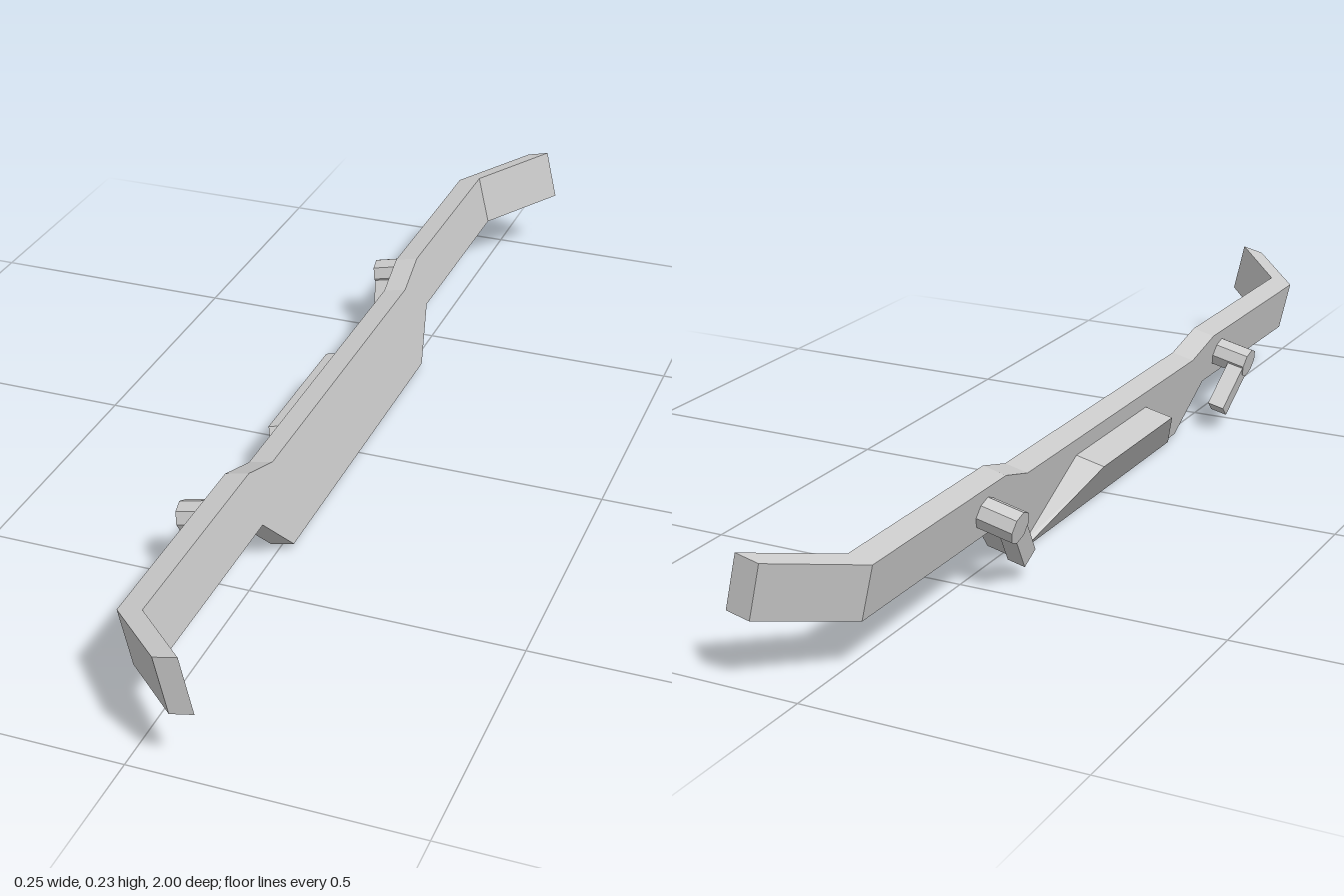
import * as THREE from 'three';
import { ConvexGeometry } from 'three/addons/geometries/ConvexGeometry.js';

const material = new THREE.MeshStandardMaterial({ color: 0xcccccc, flatShading: true });

function addMesh(parent, name, geometry) {
  const mesh = new THREE.Mesh(geometry, material);
  mesh.name = name;
  parent.add(mesh);
  return mesh;
}

// Rectangular sections [z, back, front, bottom, top] joined along z
function loft(sections) {
  const positions = [];
  const corners = sections.map(([z, x0, x1, y0, y1]) =>
    [[x0, y0, z], [x1, y0, z], [x1, y1, z], [x0, y1, z]]);
  const quad = (a, b, c, d) => positions.push(...a, ...b, ...c, ...a, ...c, ...d);
  for (let i = 0; i < corners.length - 1; i++) {
    for (let j = 0; j < 4; j++) {
      const k = (j + 1) % 4;
      quad(corners[i][j], corners[i][k], corners[i + 1][k], corners[i + 1][j]);
    }
  }
  const [a, b, c, d] = corners[0];
  quad(d, c, b, a);
  quad(...corners[corners.length - 1]);
  const geometry = new THREE.BufferGeometry();
  geometry.setAttribute('position', new THREE.Float32BufferAttribute(positions, 3));
  geometry.computeVertexNormals();
  return geometry;
}

export function createModel() {
  const model = new THREE.Group();
  model.name = 'bumper';

  // Everything leans together
  const body = new THREE.Group();
  body.name = 'bumperBody';
  body.position.set(-0.0188, 0.0027, 0);
  body.rotation.z = THREE.MathUtils.degToRad(13.1);
  model.add(body);

  // Bar: deep centre panel, narrow arms, swept ends
  const half = [
    [0.355, 0, 0.046, 0, 0.168],
    [0.445, 0, 0.046, 0.093, 0.196],
    [0.873, 0, 0.046, 0.093, 0.196],
    [1, 0.124, 0.168, 0.093, 0.196],
  ];
  const mirrored = half.map(([z, ...rest]) => [-z, ...rest]).reverse();
  addMesh(body, 'bar', loft([...mirrored, ...half]));

  // Wedge-shaped housing behind the centre panel
  const points = [];
  for (const s of [-1, 1]) {
    points.push(
      new THREE.Vector3(0.004, 0.13, s * 0.15),
      new THREE.Vector3(-0.058, 0.13, s * 0.15),
      new THREE.Vector3(-0.006, -0.001, s * 0.31),
      new THREE.Vector3(0.004, 0, s * 0.31),
    );
  }
  addMesh(body, 'rearHousing', new ConvexGeometry(points));

  // Mounting pegs, each with an arm reaching down and inward
  for (const s of [-1, 1]) {
    const mount = new THREE.Group();
    mount.name = s > 0 ? 'frontMount' : 'rearMount';
    mount.position.set(0, 0.1445, s * 0.5);
    body.add(mount);

    const peg = addMesh(mount, 'peg', new THREE.CylinderGeometry(0.03, 0.03, 0.075, 8));
    peg.rotation.z = Math.PI / 2;
    peg.position.x = -0.0325;

    const arm = addMesh(mount, 'arm', new THREE.BoxGeometry(0.034, 0.115, 0.038));
    arm.position.set(-0.052, -0.045, -s * 0.037);
    arm.rotation.x = s * 0.68;
  }
  return model;
}
